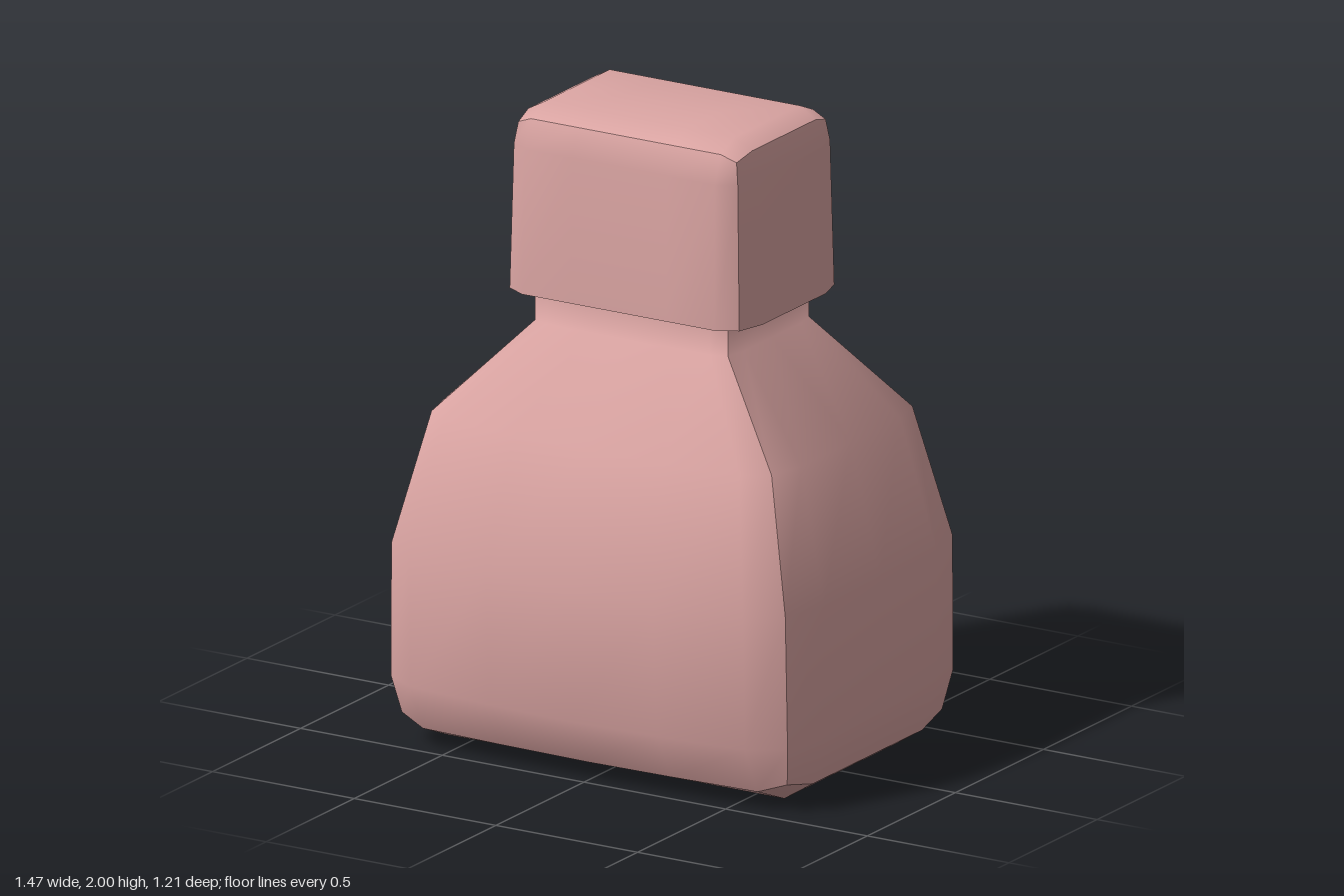
import * as THREE from 'three';
import { mergeGeometries } from 'three/addons/utils/BufferGeometryUtils.js';

// Smooth patch from a grid of points: rows run "up", columns run "right"
function patch(rows) {
  const n = rows[0].length;
  const index = [];
  for (let j = 0; j < rows.length - 1; j++) {
    for (let i = 0; i < n - 1; i++) {
      const a = j * n + i, b = a + 1, c = b + n, d = a + n;
      index.push(a, b, c, a, c, d);
    }
  }
  const g = new THREE.BufferGeometry();
  g.setAttribute('position', new THREE.Float32BufferAttribute(rows.flat(2), 3));
  g.setIndex(index);
  g.computeVertexNormals();
  return g;
}

// Front edge of a ring, left to right: crease corners, shoulders, bulging middle
function frontEdge({ y, hz, cx, cz, sx, ez, dy = 0 }) {
  const mz = hz * 0.66 + ez * 0.34;
  return [[-cx, y + dy, cz], [-sx, y, ez], [-sx / 2, y, mz], [0, y, hz],
    [sx / 2, y, mz], [sx, y, ez], [cx, y + dy, cz]];
}

// Right-hand (+x) edge of a ring, front to back
function sideEdge({ y, hx, cx, cz, sz, dy = 0 }) {
  return [[cx, y + dy, cz], [hx, y, sz], [hx, y, 0], [hx, y, -sz], [cx, y + dy, -cz]];
}

// Half turn about the vertical axis
const turn = (row) => row.map(([x, y, z]) => [-x, y, -z]);

// Top or bottom face: ring border around a flat middle of half size ix by iz
function lid(ring, y, ix, iz, up) {
  const front = frontEdge(ring);
  const back = turn(front).reverse();
  const side = sideEdge(ring);
  const xs = [-1, -0.5, 0, 0.5, 1];
  const middle = [1, 0, -1].map((s, k) => {
    const edge = side[k + 1];
    return [[-edge[0], edge[1], edge[2]], ...xs.map((t) => [t * ix, y, s * iz]), edge];
  });
  const rows = [front, ...middle, back];
  return patch(up ? rows : rows.reverse());
}

// Four smooth walls that meet in creases at the corners
function walls(rings) {
  const fronts = rings.map(frontEdge);
  const sides = rings.map(sideEdge);
  return [fronts, sides, fronts.map(turn), sides.map(turn)].map(patch);
}

// Ring: height, half sizes, crease corner, shoulder points, corner lift
const ring = (y, hx, hz, cx, cz, sx, ez, sz, dy = 0) => ({ y, hx, hz, cx, cz, sx, ez, sz, dy });

export function createModel() {
  const group = new THREE.Group();
  const material = new THREE.MeshStandardMaterial({ color: 0xdba5a3 });
  const add = (name, parts) => {
    const mesh = new THREE.Mesh(mergeGeometries(parts), material);
    mesh.name = name;
    group.add(mesh);
  };

  // Body: base, belly, sloping shoulders and short neck
  const body = [
    ring(0.06, 0.69, 0.485, 0.68, 0.44, 0.59, 0.465, 0.31, 0.03),
    ring(0.21, 0.735, 0.575, 0.70, 0.47, 0.59, 0.535, 0.32),
    ring(0.63, 0.735, 0.605, 0.695, 0.475, 0.59, 0.548, 0.32),
    ring(1.04, 0.63, 0.49, 0.60, 0.40, 0.52, 0.455, 0.28),
    ring(1.325, 0.355, 0.255, 0.34, 0.23, 0.29, 0.25, 0.16),
    ring(1.46, 0.355, 0.255, 0.34, 0.23, 0.29, 0.25, 0.16),
  ];
  add('body', [...walls(body), lid(body[0], 0, 0.595, 0.32, false)]);

  // Cap: slightly tapered block with softened top edges
  const cap = [
    ring(1.425, 0.43, 0.305, 0.405, 0.27, 0.34, 0.305, 0.18),
    ring(1.88, 0.418, 0.297, 0.395, 0.262, 0.335, 0.297, 0.18),
    ring(1.967, 0.395, 0.262, 0.385, 0.253, 0.335, 0.262, 0.18, -0.02),
  ];
  add('cap', [
    ...walls(cap),
    lid(cap[2], 2, 0.335, 0.185, true),
    lid(cap[0], 1.425, 0.34, 0.18, false),
  ]);

  return group;
}
